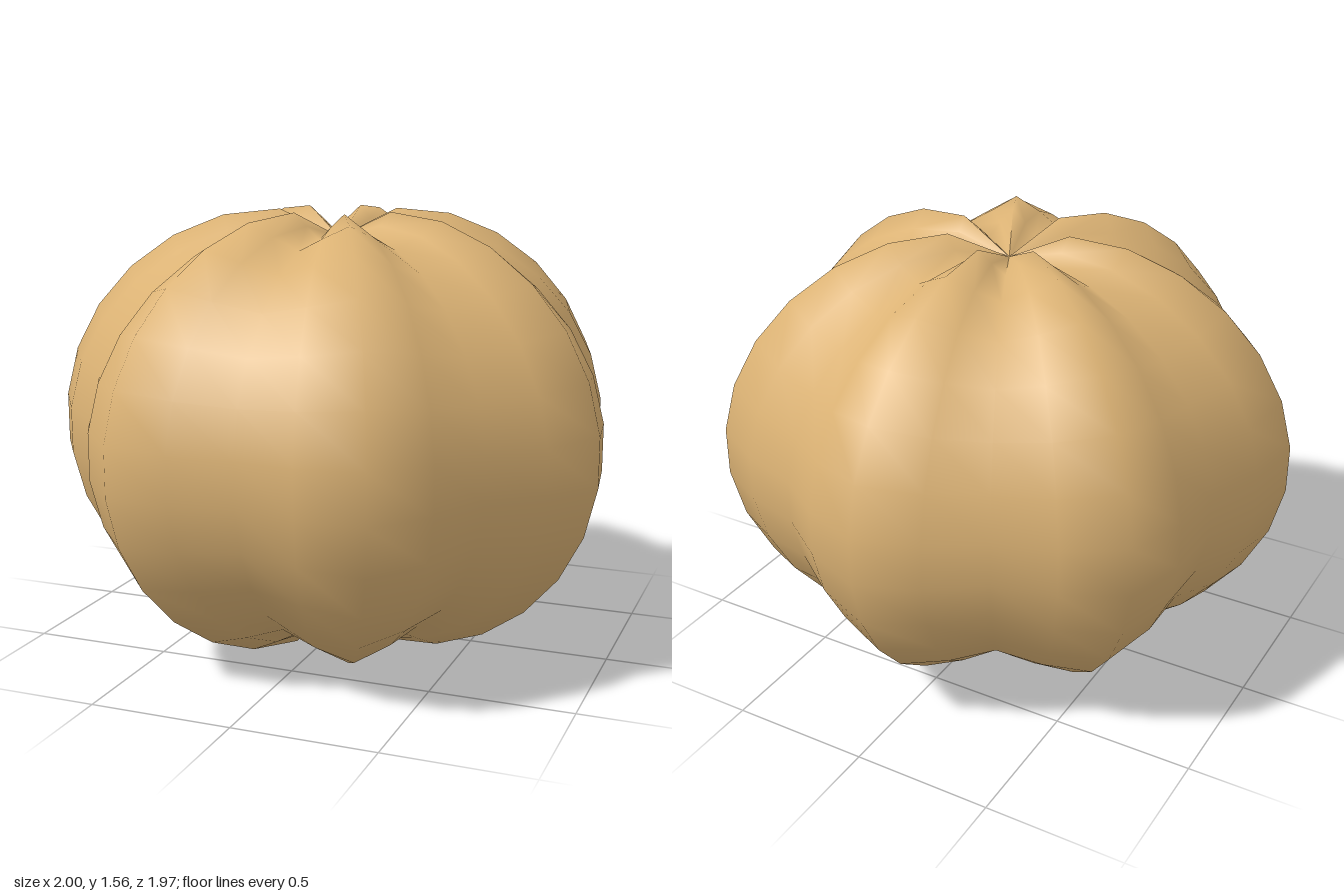
import * as THREE from 'three';

const LOBES = 7;
const COLUMNS = LOBES * 4;
const ROWS = 15;
const RADIUS = 1.03;
const HEIGHT = 0.86;   // half height before the ends are dimpled
const DIMPLE = 0.135;  // depth of the hollow at each pole
const GROOVE = 0.058;  // half depth of the grooves between lobes

// Ribbed gourd: a sphere grid with hollowed poles and seven lobes, one of them facing back
function gourdGeometry() {
  const geometry = new THREE.SphereGeometry(1, COLUMNS, ROWS);
  const position = geometry.attributes.position;
  for (let i = 0; i < position.count; i++) {
    const column = i % (COLUMNS + 1);
    const row = Math.floor(i / (COLUMNS + 1));
    const turn = (column / COLUMNS) * Math.PI * 2;
    const polar = (row / ROWS) * Math.PI;
    const atPole = row === 0 || row === ROWS;

    const r = RADIUS * Math.sin(polar);
    const up = Math.cos(polar);
    const y = HEIGHT * up - Math.sign(up) * DIMPLE * Math.exp(-r / 0.27);

    // Lobes scale each point away from the centre; the poles stay closed
    const wave = atPole ? 0 : Math.cos(LOBES * (turn - Math.PI / 2));
    const scale = 1 - GROOVE * (1 - wave);
    position.setXYZ(i, r * scale * Math.cos(turn), y * scale, -r * scale * Math.sin(turn));
  }
  geometry.computeVertexNormals();
  return geometry;
}

export function createModel() {
  const model = new THREE.Group();
  model.name = 'gourd';

  const skin = new THREE.MeshStandardMaterial({ color: 0xdbb274 });
  skin.name = 'tan skin';

  const body = new THREE.Mesh(gourdGeometry(), skin);
  body.name = 'ribbedBody';
  body.position.set(0, 0.78, 0.038);
  model.add(body);

  return model;
}
